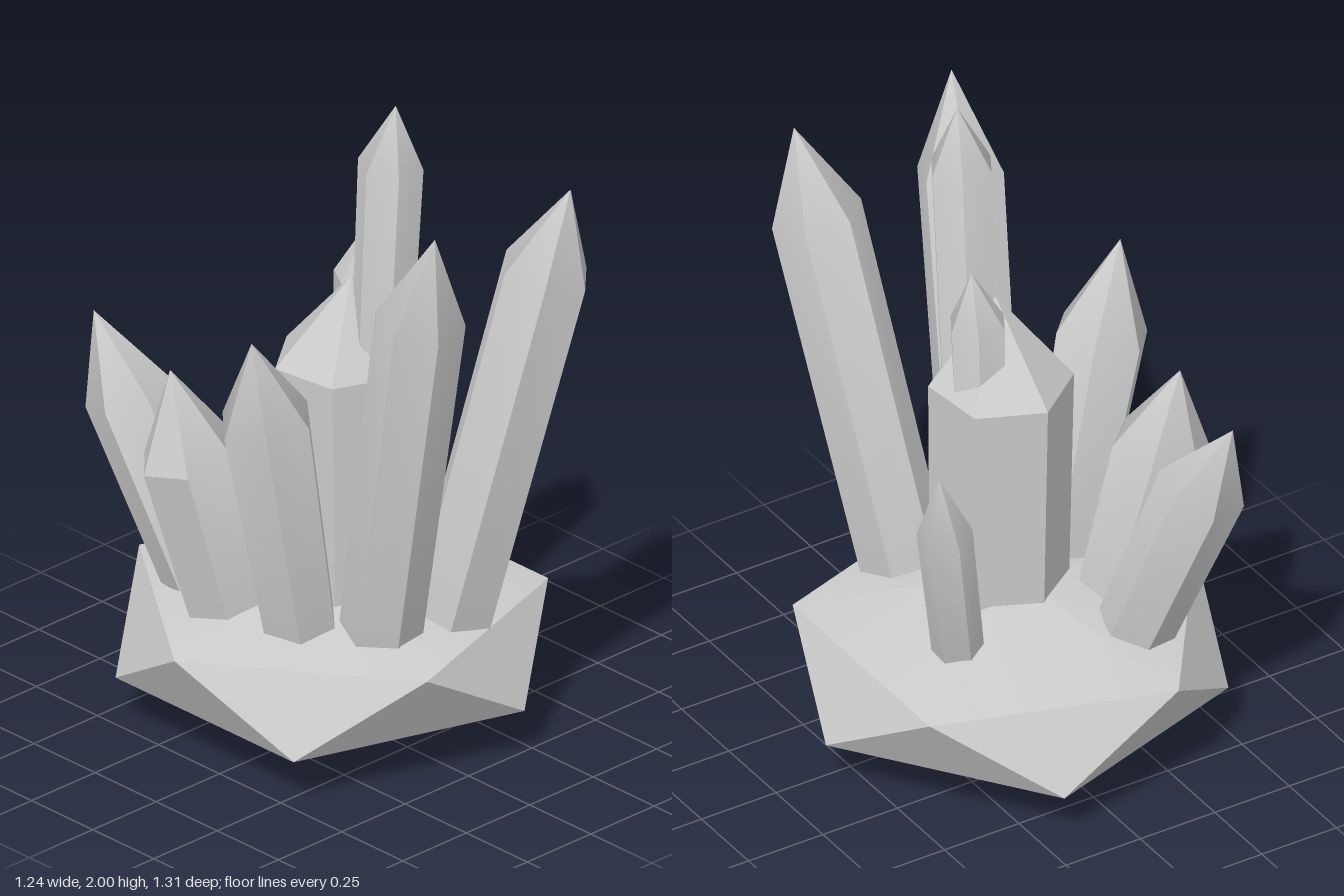
import * as THREE from 'three';
import { toCreasedNormals } from 'three/addons/utils/BufferGeometryUtils.js';
import { ConvexGeometry } from 'three/addons/geometries/ConvexGeometry.js';

const V = (x, y, z) => new THREE.Vector3(x, y, z);

// Hexagonal ring around a centre, square to the axis; twist in degrees from +x towards +z
function hexRing(centre, axis, radius, twist) {
  const u = V(1, 0, 0).addScaledVector(axis, -axis.x).normalize();
  const v = u.clone().cross(axis);
  return Array.from({ length: 6 }, (_, i) => {
    const a = (twist + i * 60) * Math.PI / 180;
    return centre.clone().addScaledVector(u, radius * Math.cos(a)).addScaledVector(v, radius * Math.sin(a));
  });
}

// Leaning hexagonal shaft with a pointed end
function crystalGeometry({ base, shoulder, tip, r0, r1, twist }) {
  const b = V(...base), s = V(...shoulder);
  const axis = s.clone().sub(b).normalize();
  return new ConvexGeometry([...hexRing(b, axis, r0, twist), ...hexRing(s, axis, r1, twist), V(...tip)]);
}

// Squashed icosahedron standing on its point
function rockGeometry() {
  const points = [V(0, 0, -0.06), V(0, 0.522, -0.06)];
  for (let i = 0; i < 5; i++) {
    const a = i * Math.PI * 2 / 5;
    const x = 0.62 * Math.cos(a), z = 0.62 * Math.sin(a);
    points.push(V(x, 0.15, z - 0.06), V(-x, 0.38, z - 0.06));
  }
  return new ConvexGeometry(points);
}

const crystals = [
  { name: 'tallCrystal', base: [0.045, 0.42, 0.05], shoulder: [0.035, 1.81, 0.145], tip: [0.04, 2, 0.16], r0: 0.08, r1: 0.097, twist: 0 },
  { name: 'innerCrystal', base: [0.07, 0.42, -0.03], shoulder: [0.085, 1.38, -0.02], tip: [0.1, 1.55, -0.01], r0: 0.07, r1: 0.087, twist: 0 },
  { name: 'centralCrystal', base: [0, 0.4, 0], shoulder: [0, 1.15, -0.01], tip: [0, 1.42, 0.02], r0: 0.2, r1: 0.21, twist: 23 },
  { name: 'frontRightCrystal', base: [-0.11, 0.38, 0.25], shoulder: [-0.18, 1.52, 0.49], tip: [-0.2, 1.81, 0.57], r0: 0.12, r1: 0.13, twist: -10 },
  { name: 'frontLeftCrystal', base: [0.135, 0.4, 0.29], shoulder: [0.285, 1.52, 0.52], tip: [0.32, 1.79, 0.585], r0: 0.13, r1: 0.135, twist: 16 },
  { name: 'sideCrystal', base: [-0.25, 0.4, 0.07], shoulder: [-0.395, 1.12, 0.08], tip: [-0.47, 1.4, 0.1], r0: 0.115, r1: 0.14, twist: 12 },
  { name: 'backSideCrystal', base: [-0.3, 0.4, -0.16], shoulder: [-0.4, 0.9, -0.23], tip: [-0.44, 1.17, -0.265], r0: 0.13, r1: 0.15, twist: 16 },
  { name: 'backCrystal', base: [-0.24, 0.42, -0.35], shoulder: [-0.34, 0.96, -0.54], tip: [-0.38, 1.2, -0.64], r0: 0.115, r1: 0.13, twist: -13 },
  { name: 'smallCrystal', base: [0.265, 0.43, -0.2], shoulder: [0.38, 0.94, -0.31], tip: [0.41, 1.14, -0.33], r0: 0.075, r1: 0.08, twist: -30 },
];

export function createModel() {
  const group = new THREE.Group();
  group.name = 'crystalCluster';
  const stone = new THREE.MeshStandardMaterial({ color: 0xcccccc });
  stone.name = 'pale grey stone';

  const add = (name, geometry) => {
    const mesh = new THREE.Mesh(toCreasedNormals(geometry, 0.5), stone);
    mesh.name = name;
    group.add(mesh);
  };

  add('rockBase', rockGeometry());
  for (const c of crystals) add(c.name, crystalGeometry(c));
  return group;
}
